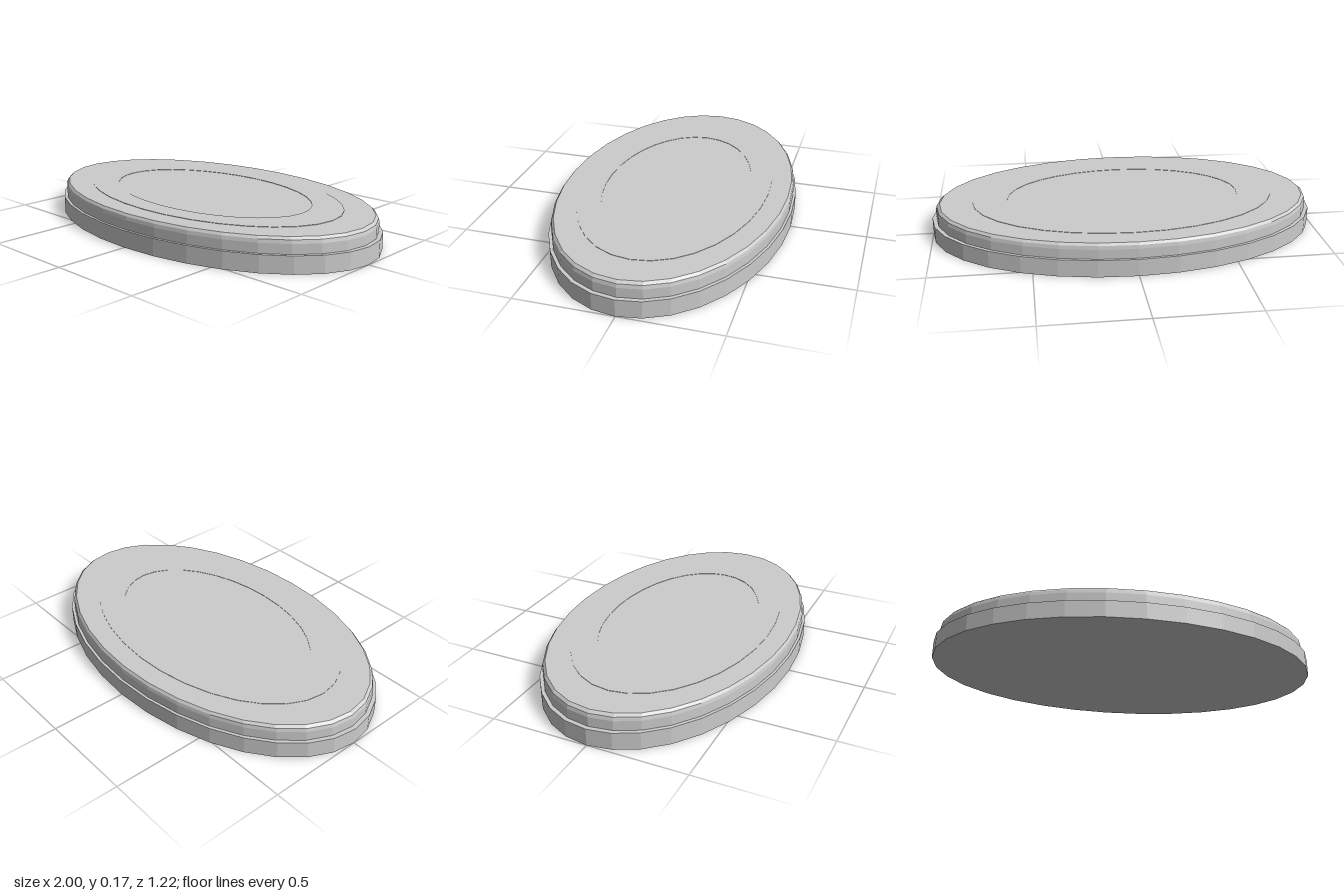
import * as THREE from 'three';

const DEPTH_RATIO = 0.61; // depth of the oval relative to its width
const SIDES = 32;

// Oval solid turned from a [radius, height] profile, listed bottom to top
function ovalLathe(name, profile, material) {
  const points = profile.map(([r, y]) => new THREE.Vector2(r, y));
  const geometry = new THREE.LatheGeometry(points, SIDES);
  geometry.scale(1, 1, DEPTH_RATIO);
  const mesh = new THREE.Mesh(geometry, material);
  mesh.name = name;
  return mesh;
}

export function createModel() {
  const material = new THREE.MeshStandardMaterial({ color: 0xcccccc, flatShading: true });
  const group = new THREE.Group();
  group.name = 'ovalPlinth';

  // Wide lower slab
  group.add(ovalLathe('base', [[0, 0], [1, 0], [1, 0.088], [0, 0.088]], material));

  // Slightly inset upper slab with a rounded rim
  group.add(ovalLathe('upperSlab', [
    [0.978, 0.088], [0.978, 0.137], [0.973, 0.155], [0.958, 0.167], [0, 0.167],
  ], material));

  // Very low raised band on the top face
  group.add(ovalLathe('topBand', [
    [0.79, 0.166], [0.79, 0.169], [0.61, 0.169], [0.61, 0.166],
  ], material));

  return group;
}
